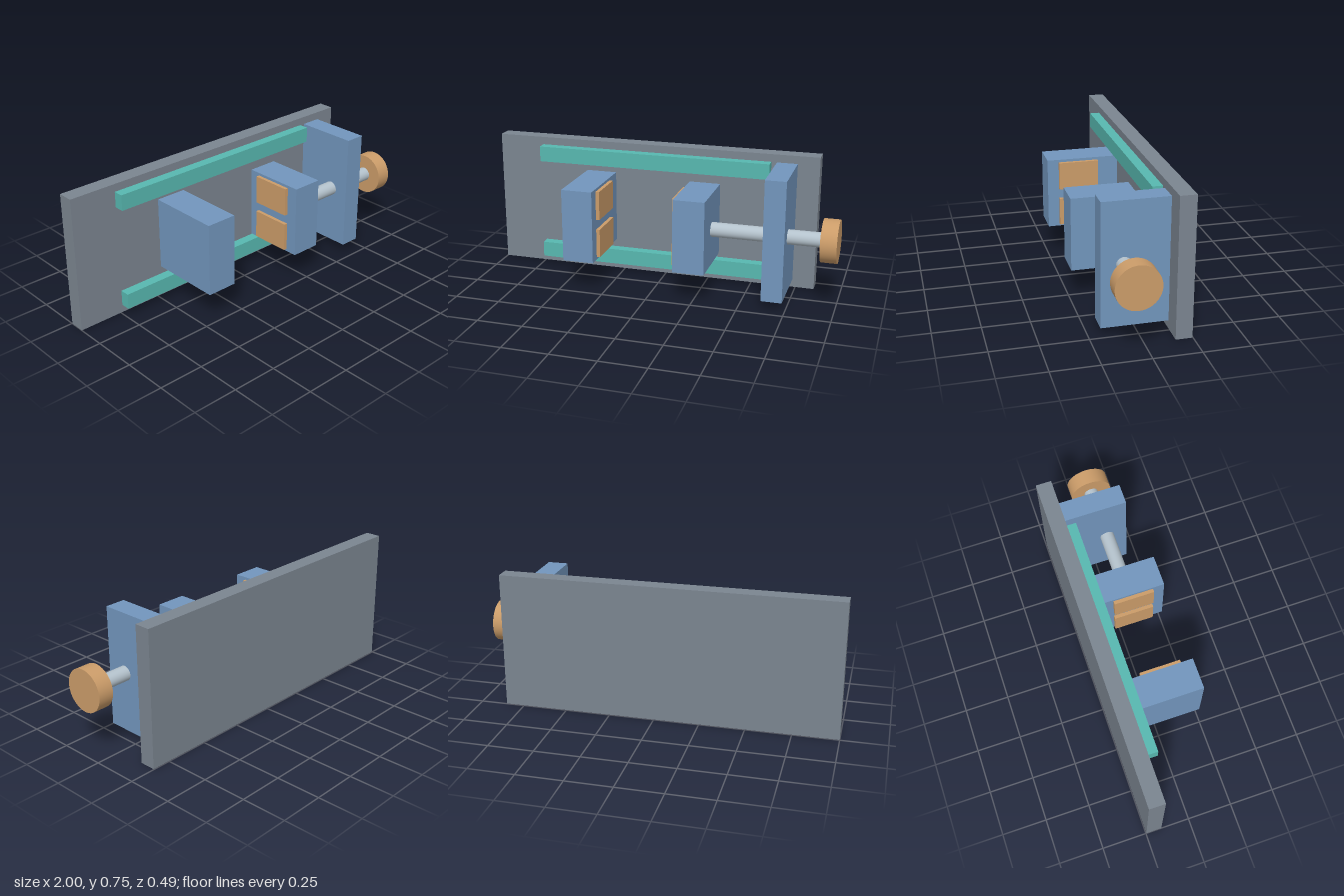
import * as THREE from 'three';

const paint = (name, color) => {
  const m = new THREE.MeshStandardMaterial({ color });
  m.name = name;
  return m;
};

export function createModel() {
  const group = new THREE.Group();
  const grey = paint('plateGrey', 0x7b8590);
  const teal = paint('railTeal', 0x57b8b0);
  const blue = paint('jawBlue', 0x7296bd);
  const tan = paint('padTan', 0xcb9c69);
  const steel = paint('screwSteel', 0xb4c2cc);

  // Box given by its limits along each axis
  const box = (name, mat, [x0, x1], [y0, y1], [z0, z1]) => {
    const mesh = new THREE.Mesh(new THREE.BoxGeometry(x1 - x0, y1 - y0, z1 - z0), mat);
    mesh.position.set((x0 + x1) / 2, (y0 + y1) / 2, (z0 + z1) / 2);
    mesh.name = name;
    group.add(mesh);
  };

  // Round bar along x on the screw axis
  const midY = 0.378, axisZ = 0.073;
  const rod = (name, mat, x0, x1, radius) => {
    const geo = new THREE.CylinderGeometry(radius, radius, x1 - x0, 64).rotateZ(-Math.PI / 2);
    const mesh = new THREE.Mesh(geo, mat);
    mesh.position.set((x0 + x1) / 2, midY, axisZ);
    mesh.name = name;
    group.add(mesh);
  };

  // Back plate and the two guide rails
  box('basePlate', grey, [-1, 0.853], [0, 0.755], [-0.247, -0.16]);
  box('lowerRail', teal, [-0.738, 0.59], [0.045, 0.132], [-0.16, -0.105]);
  box('upperRail', teal, [-0.738, 0.59], [0.625, 0.712], [-0.16, -0.105]);

  // Fixed jaw, sliding jaw and screw bracket
  box('fixedJaw', blue, [-0.47, -0.298], [0.177, 0.58], [-0.16, 0.247]);
  box('slidingJaw', blue, [0.15, 0.322], [0.177, 0.58], [-0.105, 0.247]);
  box('screwBracket', blue, [0.62, 0.733], [0.045, 0.711], [-0.16, 0.19]);

  // Grip pads on the facing sides of both jaws
  for (const y of [[0.191, 0.35], [0.406, 0.565]]) {
    box('fixedJawPad', tan, [-0.298, -0.278], y, [-0.043, 0.183]);
    box('slidingJawPad', tan, [0.13, 0.15], y, [-0.043, 0.183]);
  }

  // Screw and its round knob
  rod('screw', steel, 0.3, 0.93, 0.04);
  rod('knob', tan, 0.914, 1, 0.116);

  return group;
}
